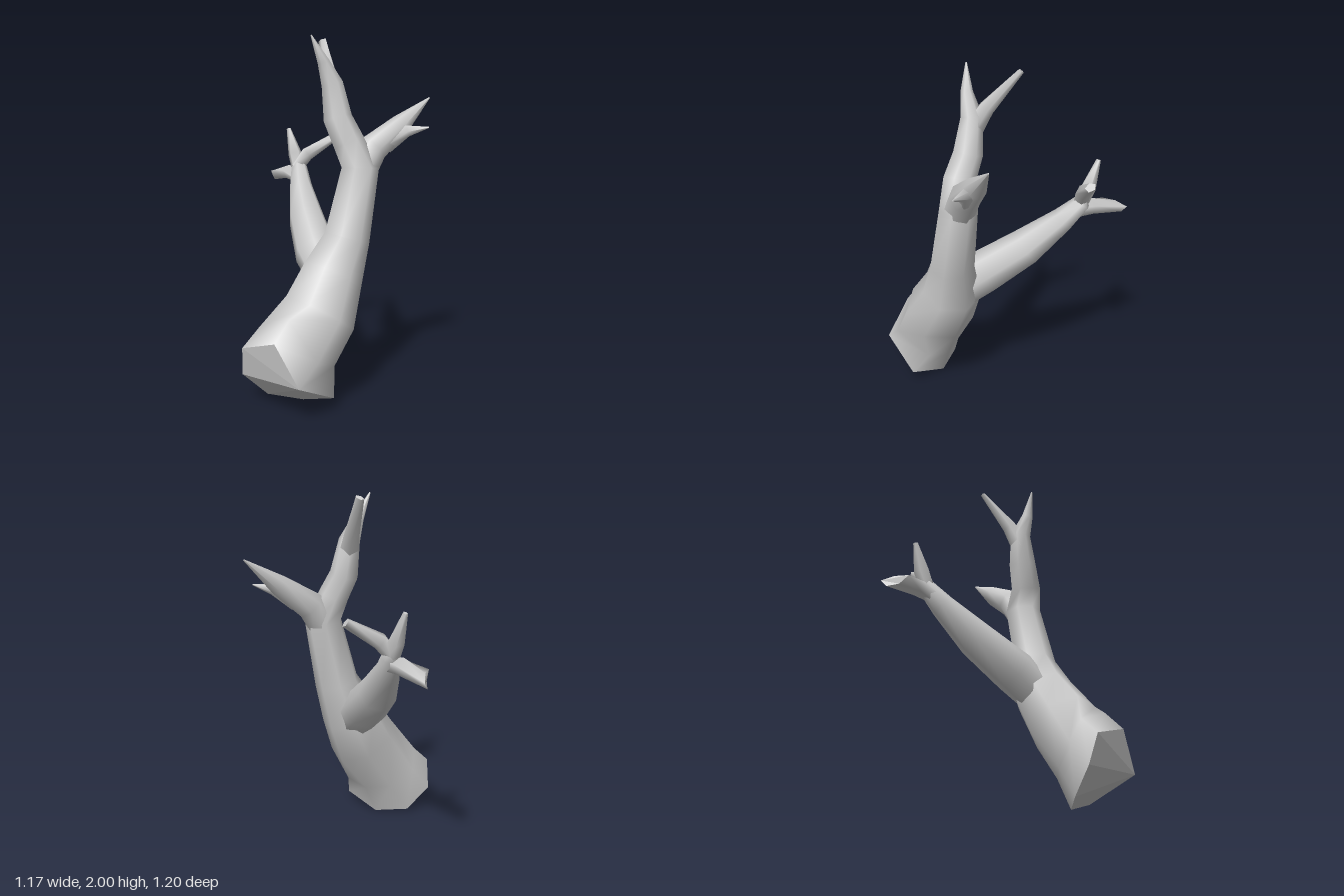
import * as THREE from 'three';

const material = new THREE.MeshStandardMaterial({ color: 0xcccccc });

// Loft through rings. A ring is either [x, y, z, radius, optional second radius], set square
// to the path, or a list of explicit corner points.
function limb(name, rings, sides) {
  const isOutline = ring => Array.isArray(ring[0]);
  const centres = rings.map(ring => {
    if (!isOutline(ring)) return new THREE.Vector3(ring[0], ring[1], ring[2]);
    const sum = new THREE.Vector3();
    ring.forEach(p => sum.add(new THREE.Vector3(...p)));
    return sum.divideScalar(sides);
  });
  const last = rings.length - 1;
  const loops = rings.map((ring, i) => {
    if (isOutline(ring)) return ring.map(p => new THREE.Vector3(...p));
    const ru = ring[3], rv = ring[4] ?? ru;
    const t = centres[Math.min(i + 1, last)].clone().sub(centres[Math.max(i - 1, 0)]).normalize();
    const u = new THREE.Vector3(1, 0, 0).addScaledVector(t, -t.x).normalize();
    const v = new THREE.Vector3().crossVectors(u, t);
    return Array.from({ length: sides }, (_, k) => {
      const a = 0.47 + (k / sides) * Math.PI * 2;
      return centres[i].clone().addScaledVector(u, ru * Math.cos(a)).addScaledVector(v, rv * Math.sin(a));
    });
  });

  const points = loops.flat();
  const index = [];
  for (let i = 0; i < last; i++) {
    for (let k = 0; k < sides; k++) {
      const a = i * sides + k, b = i * sides + (k + 1) % sides;
      index.push(a, a + sides, b, b, a + sides, b + sides);
    }
  }
  // Faceted end caps: every triangle has its own corners
  for (let k = 1; k < sides - 1; k++) {
    const foot = loops[0], tip = loops[last];
    for (const corner of [foot[0], foot[k], foot[k + 1], tip[0], tip[k + 1], tip[k]]) {
      index.push(points.push(corner) - 1);
    }
  }

  const geometry = new THREE.BufferGeometry().setFromPoints(points);
  geometry.setIndex(index);
  geometry.computeVertexNormals();
  const mesh = new THREE.Mesh(geometry, material);
  mesh.name = name;
  return mesh;
}

export function createModel() {
  const group = new THREE.Group();
  group.name = 'deadTree';

  // Slanted broken foot of the trunk, and the narrower ring just above it
  const foot = [
    [0.25, 0.2, 0.6], [0.09, 0.41, 0.58], [-0.17, 0.32, 0.495], [-0.2, 0.15, 0.45],
    [-0.1, 0.02, 0.35], [0.09, 0, 0.28], [0.31, 0.07, 0.33],
  ];
  const ankle = [
    [0.29, 0.31, 0.47], [0.12, 0.52, 0.48], [-0.12, 0.42, 0.4], [-0.14, 0.3, 0.34],
    [-0.03, 0.2, 0.25], [0.12, 0.18, 0.2], [0.26, 0.21, 0.23],
  ];
  // Slanted cut end of the outer twig
  const outerCut = [
    [-0.59, 1.15, -0.565], [-0.565, 1.18, -0.5], [-0.55, 1.18, -0.42],
    [-0.56, 1.13, -0.47], [-0.59, 1.11, -0.53],
  ];

  group.add(
    // Leaning trunk running on into the tallest branch
    limb('trunk', [
      foot, ankle, [0.16, 0.5, 0.23, 0.215, 0.205], [0.18, 0.7, 0.11, 0.175],
      [0.235, 0.9, 0.05, 0.135, 0.122], [0.272, 1.28, -0.035, 0.108], [0.22, 1.42, 0.0, 0.09],
      [0.15, 1.55, 0.0, 0.083], [0.115, 1.74, 0.0, 0.062], [0.09, 1.86, 0.055, 0.034],
      [0.04, 2.0, 0.1, 0.004],
    ], 7),
    limb('topTwig', [
      [0.125, 1.66, 0.0, 0.06], [0.07, 1.79, -0.06, 0.045], [-0.05, 1.985, -0.195, 0.026, 0.014],
    ], 5),

    // Branch reaching back on the left side
    limb('leftBranch', [
      [0.27, 1.24, -0.03, 0.09], [0.31, 1.38, -0.12, 0.085], [0.41, 1.51, -0.28, 0.06],
      [0.515, 1.66, -0.45, 0.004],
    ], 7),
    limb('leftTwig', [
      [0.36, 1.41, -0.18, 0.06], [0.46, 1.48, -0.26, 0.035], [0.58, 1.5, -0.285, 0.004],
    ], 5),

    // Thick branch reaching back on the right side, ending in three twigs
    limb('rightBranch', [
      [0.15, 0.66, 0.1, 0.11], [0.02, 0.78, 0.0, 0.13], [-0.15, 0.94, -0.18, 0.11],
      [-0.28, 1.11, -0.335, 0.072], [-0.34, 1.22, -0.42, 0.05], [-0.345, 1.27, -0.43, 0.01],
    ], 7),
    limb('rightOuterTwig', [
      [-0.3, 1.16, -0.37, 0.045], [-0.41, 1.18, -0.43, 0.06, 0.045], outerCut,
    ], 5),
    limb('rightUpperTwig', [
      [-0.33, 1.18, -0.4, 0.04], [-0.375, 1.3, -0.43, 0.045], [-0.433, 1.455, -0.45, 0.014],
    ], 5),
    limb('rightInnerTwig', [
      [-0.35, 1.21, -0.4, 0.04], [-0.3, 1.3, -0.45, 0.045], [-0.17, 1.405, -0.575, 0.032, 0.024],
    ], 5),
  );
  return group;
}
